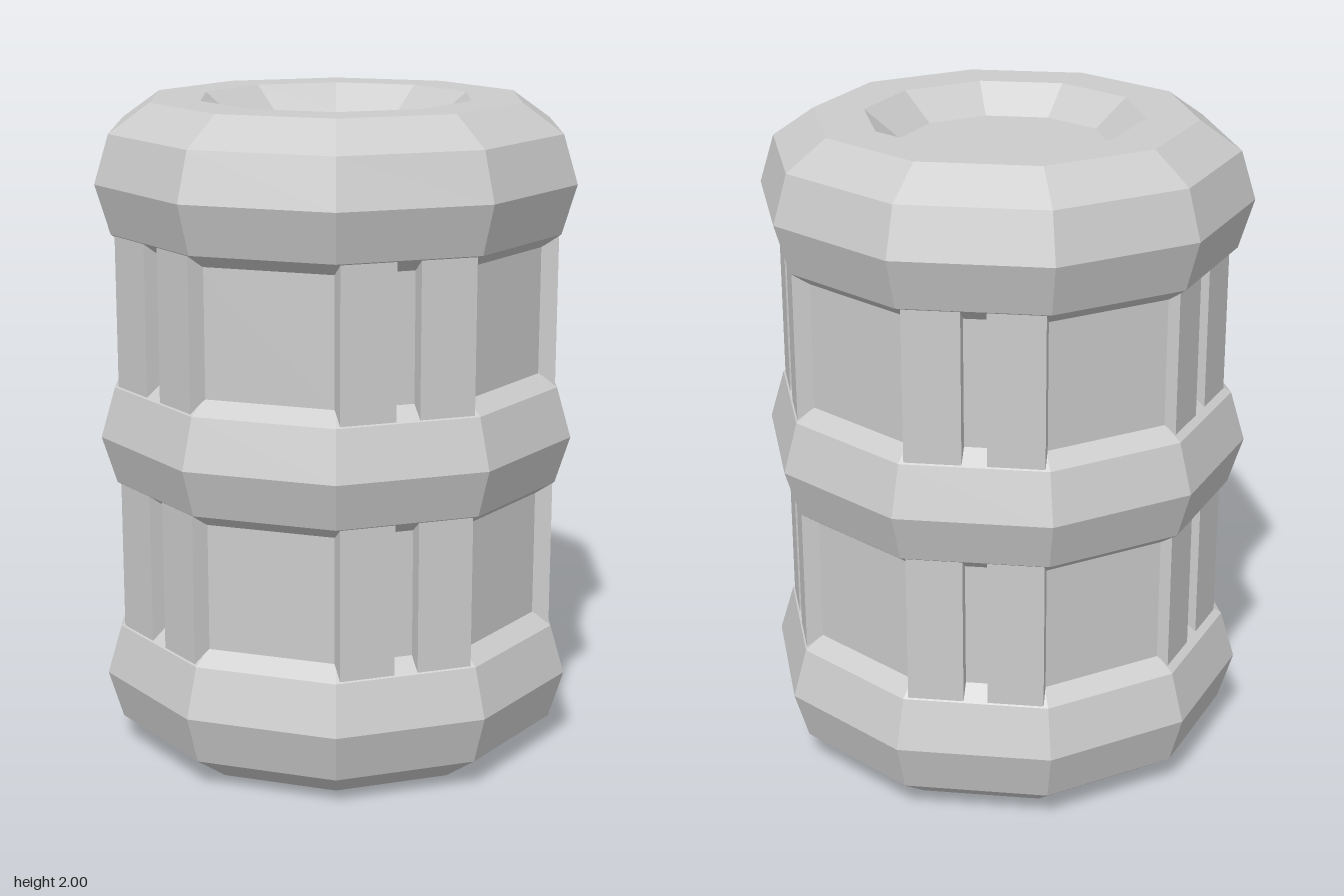
import * as THREE from 'three';

const SIDES = 10;

export function createModel() {
  const group = new THREE.Group();
  const material = new THREE.MeshStandardMaterial({ color: 0xcccccc, flatShading: true });

  // Ten-sided barrel body: recessed base, three bulging bands, recessed lid
  const profile = [
    [0, 0.2], [0.315, 0.2], [0.315, 0.085], [0.42, 0], [0.575, 0],
    [0.7, 0.09], [0.745, 0.24], [0.7, 0.39],
    [0.643, 0.43], [0.643, 0.815],
    [0.7, 0.855], [0.745, 1.0], [0.7, 1.152],
    [0.643, 1.192], [0.643, 1.577],
    [0.7, 1.617], [0.745, 1.767], [0.7, 1.913],
    [0.575, 2], [0.42, 2], [0.315, 1.915], [0, 1.915],
  ].map(([r, y]) => new THREE.Vector2(r, y));
  const body = new THREE.Mesh(new THREE.LatheGeometry(profile, SIDES, Math.PI / 2), material);
  body.name = 'barrelBody';
  group.add(body);

  // Pairs of upright ribs on every second side, in both waists
  const depth = 0.12;
  const ribGeometry = new THREE.BoxGeometry(0.166, 0.465, depth);
  for (let k = 0; k < 5; k++) {
    const pair = new THREE.Group();
    pair.name = 'ribPairs' + (k + 1);
    pair.rotation.y = (k * 2 * Math.PI) / 5;
    const front = k === 4 ? 0.645 : 0.661; // one side sits slightly deeper
    for (const y of [0.622, 1.385]) {
      for (const side of [-1, 1]) {
        const rib = new THREE.Mesh(ribGeometry, material);
        rib.name = 'rib';
        rib.position.set(side * 0.119, y, front - depth / 2);
        pair.add(rib);
      }
    }
    group.add(pair);
  }
  return group;
}
